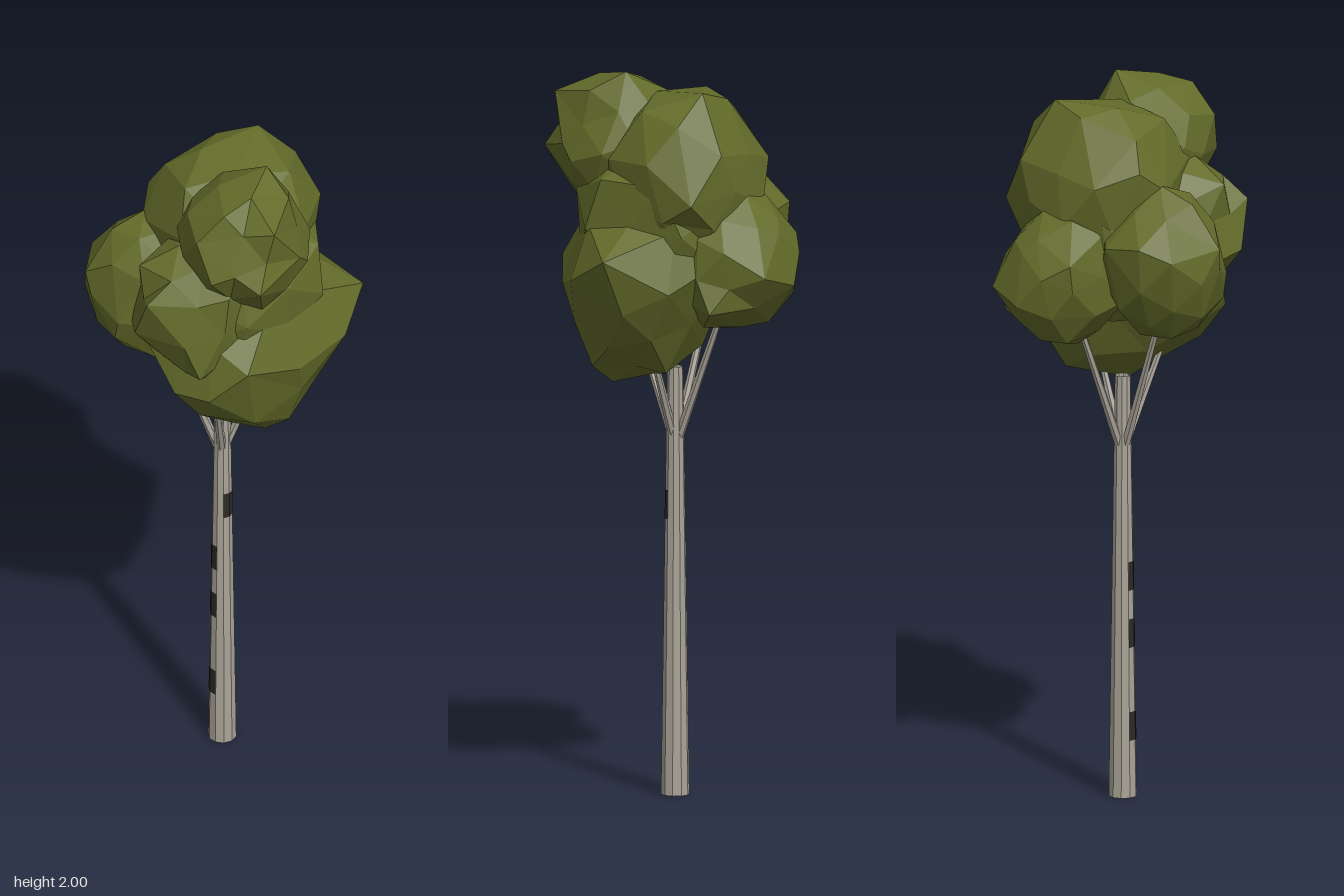
import * as THREE from 'three';

const leafMat = new THREE.MeshStandardMaterial({ color: 0x636b2a, flatShading: true });
const barkMat = new THREE.MeshStandardMaterial({ color: 0xaaa498, flatShading: true, side: THREE.DoubleSide });
const markMat = new THREE.MeshStandardMaterial({ color: 0x2c2925, flatShading: true, side: THREE.DoubleSide });

function seeded(seed) {
  let s = seed;
  return () => ((s = (s * 16807) % 2147483647) / 2147483647);
}

// Faceted leaf clump: a jittered icosphere fitted to the box min..max.
// Each knob pulls the nearest free corner of the clump to that point.
function leafClump(name, seed, min, max, knobs = [], taper = 0, lean = 0) {
  const rand = seeded(seed * 7919);
  rand();
  const geo = new THREE.IcosahedronGeometry(1, 1);
  geo.rotateX(rand() * 3).rotateY(rand() * 3);
  const pos = geo.attributes.position;
  const corners = new Map();
  const cornerOf = [];
  const v = new THREE.Vector3();
  for (let i = 0; i < pos.count; i++) {
    v.fromBufferAttribute(pos, i);
    const key = v.toArray().map((n) => Math.round(n * 1000)).join();
    if (!corners.has(key)) {
      const under = Math.max(0, -v.y);
      const p = v.clone().multiplyScalar(0.94 + rand() * 0.12);
      p.x = p.x * (1 - taper * under) + (rand() - 0.5) * 0.14;
      p.z = p.z * (1 - taper * under) + lean * under + (rand() - 0.5) * 0.14;
      corners.set(key, p);
    }
    cornerOf.push(corners.get(key));
  }

  // Fit to the box
  const points = [...corners.values()];
  const box = new THREE.Box3().setFromPoints(points);
  const lo = new THREE.Vector3(...min);
  const scale = new THREE.Vector3(...max).sub(lo).divide(box.getSize(new THREE.Vector3()));
  for (const p of points) p.sub(box.min).multiply(scale).add(lo);

  // Pull corners to the knobs
  const free = new Set(points);
  for (const knob of knobs) {
    const k = new THREE.Vector3(...knob);
    const nearest = [...free].reduce((a, b) => (b.distanceTo(k) < a.distanceTo(k) ? b : a));
    nearest.copy(k);
    free.delete(nearest);
  }

  cornerOf.forEach((p, i) => pos.setXYZ(i, p.x, p.y, p.z));
  geo.computeVertexNormals();
  const mesh = new THREE.Mesh(geo, leafMat);
  mesh.name = name;
  return mesh;
}

// Thin tapered branch between two points.
function branch(from, to) {
  const a = new THREE.Vector3(...from);
  const b = new THREE.Vector3(...to);
  const dir = b.clone().sub(a);
  const mesh = new THREE.Mesh(new THREE.CylinderGeometry(0.008, 0.013, dir.length(), 6), barkMat);
  mesh.position.copy(a).add(b).multiplyScalar(0.5);
  mesh.quaternion.setFromUnitVectors(new THREE.Vector3(0, 1, 0), dir.normalize());
  mesh.name = 'branch';
  return mesh;
}

const SIDES = 10;
const TRUNK_TOP = 1.18;
const trunkRadius = (y) => 0.039 - 0.017 * (y / TRUNK_TOP);

// Dark bark patch wrapped over two trunk facets.
function barkMark(y, facet) {
  const h = 0.08;
  const step = (Math.PI * 2) / SIDES;
  const geo = new THREE.CylinderGeometry(
    trunkRadius(y + h / 2) + 0.001, trunkRadius(y - h / 2) + 0.001, h, 2, 1, true, facet * step, step * 2);
  const mesh = new THREE.Mesh(geo, markMat);
  mesh.position.y = y;
  mesh.name = 'barkMark';
  return mesh;
}

export function createModel() {
  const tree = new THREE.Group();
  tree.name = 'tree';

  // Trunk, open at both ends
  const trunk = new THREE.Mesh(
    new THREE.CylinderGeometry(trunkRadius(TRUNK_TOP), trunkRadius(0), TRUNK_TOP, SIDES, 1, true), barkMat);
  trunk.position.y = TRUNK_TOP / 2;
  trunk.name = 'trunk';
  tree.add(trunk);

  // Bark marks: one in front, three on the -x side
  tree.add(barkMark(0.8, -1));
  for (const y of [0.62, 0.46, 0.2]) tree.add(barkMark(y, 6));

  // Branches reaching into the crown
  const tips = [[0.12, 1.4, -0.13], [-0.12, 1.4, -0.12], [0.085, 1.28, 0.085], [-0.11, 1.28, 0.09]];
  for (const [x, y, z] of tips) tree.add(branch([x * 0.08, 0.99, z * 0.08], [x, y, z]));

  // Crown: overlapping clumps around a core that fills the gaps
  const crown = new THREE.Group();
  crown.name = 'crown';
  crown.add(
    leafClump('coreClump', 17, [-0.25, 1.33, -0.23], [0.28, 1.84, 0.27]),
    leafClump('topFrontClump', 3, [-0.235, 1.6, -0.04], [0.13, 1.98, 0.32], [
      [-0.17, 1.77, 0.335], [0.035, 2.0, 0.14], [-0.17, 1.96, 0.19], [-0.1, 1.93, 0.316],
      [-0.235, 1.88, 0.15], [-0.235, 1.77, 0.21], [0.0, 1.8, 0.31],
    ]),
    leafClump('lowerFrontClump', 11, [-0.29, 1.15, -0.13], [0.305, 1.7, 0.31], [
      [0.0, 1.14, 0.17], [-0.27, 1.36, 0.1], [-0.17, 1.47, 0.285], [0.3, 1.52, 0.24],
      [0.17, 1.45, 0.31], [0.0, 1.42, 0.31], [0.24, 1.29, 0.1], [-0.1, 1.2, 0.15], [0.11, 1.2, 0.12],
    ], 0.25, 0.25),
    leafClump('topRearClump', 5, [-0.18, 1.42, -0.25], [0.31, 1.95, 0.2], [
      [0.18, 1.96, -0.05], [0.32, 1.67, 0.0], [0.27, 1.8, -0.09], [0.05, 1.76, -0.25],
      [-0.07, 1.8, -0.22], [-0.14, 1.74, -0.17], [0.1, 1.93, -0.13],
    ]),
    leafClump('rearLeftClump', 8, [-0.03, 1.3, -0.315], [0.33, 1.68, 0.04], [
      [0.11, 1.56, -0.318], [0.335, 1.47, -0.2], [0.25, 1.58, -0.25], [0.317, 1.37, -0.05], [0.2, 1.33, -0.23],
    ]),
    leafClump('rearRightClump', 14, [-0.3, 1.32, -0.325], [0.04, 1.76, 0.03], [
      [-0.17, 1.58, -0.337], [-0.29, 1.6, -0.235], [-0.295, 1.5, -0.1], [0.02, 1.6, -0.265],
    ]),
    leafClump('sideRightClump', 21, [-0.325, 1.38, -0.12], [0.02, 1.79, 0.22], [
      [-0.335, 1.67, 0.06], [-0.325, 1.54, 0.0], [-0.28, 1.73, -0.03], [-0.26, 1.45, 0.19],
    ])
  );
  tree.add(crown);
  return tree;
}
